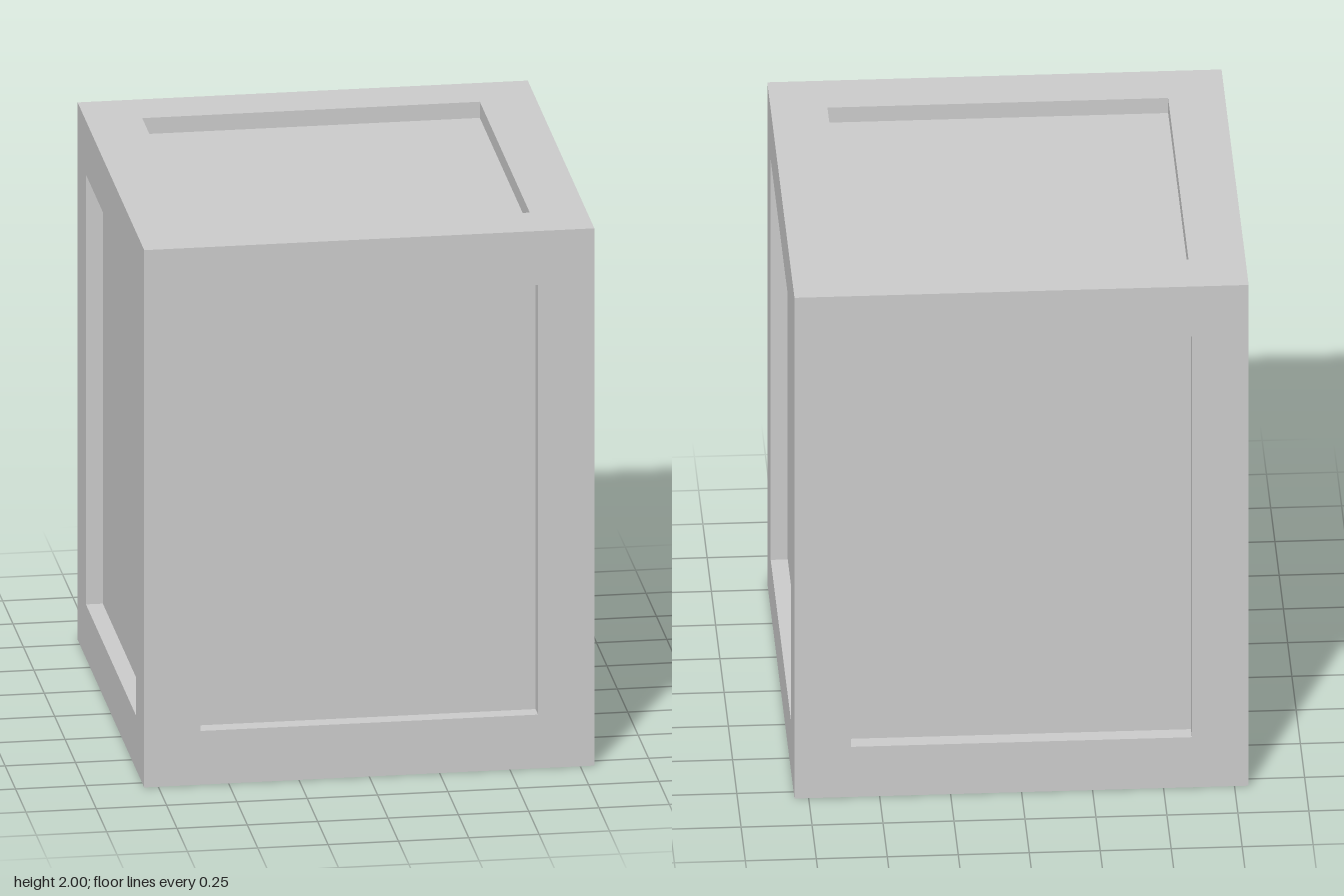
import * as THREE from 'three';

const WIDTH = 1.6, HEIGHT = 2, BORDER = 0.2, RECESS = 0.06;
const material = new THREE.MeshStandardMaterial({ color: 0xcccccc, flatShading: true });

// Border and recess walls of one side: rectangular loops joined by quads, facing +z
function frameGeometry(w, h) {
  const loop = (a, b, z) => [[-a, -b, z], [a, -b, z], [a, b, z], [-a, b, z]];
  const a = w / 2, b = h / 2;
  const loops = [
    loop(a, b, 0),
    loop(a - BORDER, b - BORDER, 0),
    loop(a - BORDER, b - BORDER, -RECESS),
  ];
  const positions = [];
  for (let k = 0; k < loops.length - 1; k++) {
    const outer = loops[k], inner = loops[k + 1];
    for (let i = 0; i < 4; i++) {
      const j = (i + 1) % 4;
      positions.push(...outer[i], ...outer[j], ...inner[j], ...outer[i], ...inner[j], ...inner[i]);
    }
  }
  const geometry = new THREE.BufferGeometry();
  geometry.setAttribute('position', new THREE.Float32BufferAttribute(positions, 3));
  geometry.computeVertexNormals();
  return geometry;
}

// One side of the crate: raised border with a sunken panel
function makeSide(name, w, h) {
  const side = new THREE.Group();
  side.name = name;
  const frame = new THREE.Mesh(frameGeometry(w, h), material);
  frame.name = name + 'Frame';
  const panel = new THREE.Mesh(new THREE.PlaneGeometry(w - 2 * BORDER, h - 2 * BORDER), material);
  panel.name = name + 'Panel';
  panel.position.z = -RECESS;
  side.add(frame, panel);
  return side;
}

export function createModel() {
  const crate = new THREE.Group();
  crate.name = 'crate';

  // Four upright sides
  ['front', 'left', 'back', 'right'].forEach((name, i) => {
    const side = makeSide(name, WIDTH, HEIGHT);
    const angle = i * Math.PI / 2;
    side.rotation.y = angle;
    side.position.set(Math.sin(angle) * WIDTH / 2, HEIGHT / 2, Math.cos(angle) * WIDTH / 2);
    crate.add(side);
  });

  // Lid and base
  const lid = makeSide('lid', WIDTH, WIDTH);
  lid.rotation.x = -Math.PI / 2;
  lid.position.y = HEIGHT;
  const base = makeSide('base', WIDTH, WIDTH);
  base.rotation.x = Math.PI / 2;
  crate.add(lid, base);

  return crate;
}
